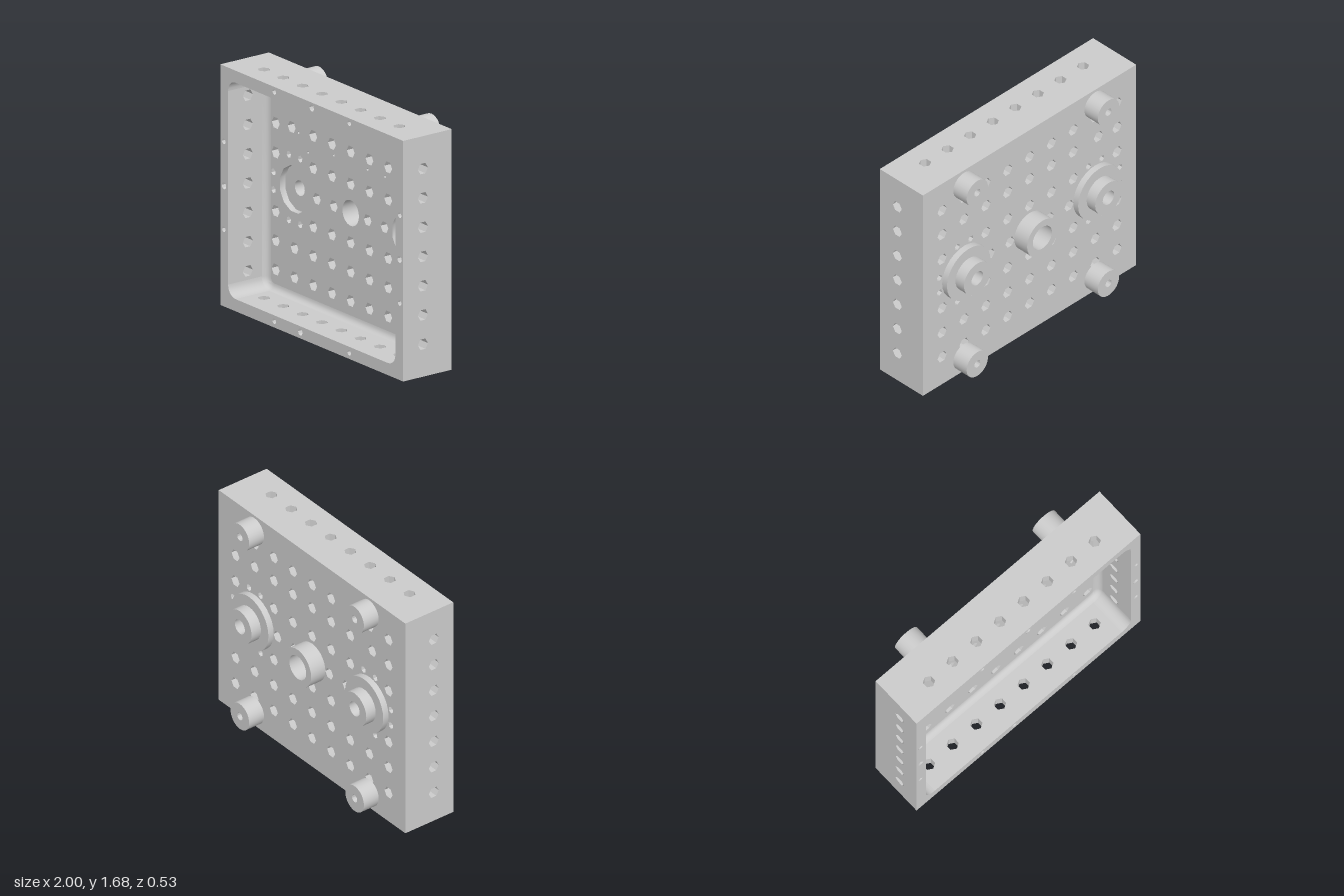
import * as THREE from 'three';
import { mergeGeometries, toCreasedNormals } from 'three/addons/utils/BufferGeometryUtils.js';

const W = 2, H = 1.685, CY = 0.8425;
const FRONT = 0.265, BACK = -0.14, FLOOR = -0.06;
const RIM = 0.085, CORNER = 0.08, FILLET = 0.043;

const material = new THREE.MeshStandardMaterial({ color: 0xcccccc, side: THREE.DoubleSide });

function add(parent, name, geometry) {
  const mesh = new THREE.Mesh(geometry, material);
  mesh.name = name;
  parent.add(mesh);
  return mesh;
}

const hole = (x, y, r, n = 6, a = 0) => ({ x, y, r, n, a });

// corner points of a polygonal hole
function ring({ x, y, r, n, a }) {
  return Array.from({ length: n }, (_, i) => {
    const t = a + (i / n) * Math.PI * 2;
    return new THREE.Vector2(x + r * Math.cos(t), y + r * Math.sin(t));
  });
}

// flat face at depth z with holes cut in it
function face(outline, holes, z) {
  const shape = new THREE.Shape(outline);
  holes.forEach(h => shape.holes.push(new THREE.Path(ring(h).reverse())));
  return new THREE.ShapeGeometry(shape).translate(0, 0, z);
}

const rect = (x0, y0, x1, y1) =>
  [[x0, y0], [x1, y0], [x1, y1], [x0, y1]].map(p => new THREE.Vector2(...p));

// closed strip between successive contours [{points, z}], optionally skipping segments
function loft(contours, keep = () => true) {
  const pos = [];
  for (let k = 0; k < contours.length - 1; k++) {
    const a = contours[k], b = contours[k + 1], n = a.points.length;
    for (let i = 0; i < n; i++) {
      if (!keep(i)) continue;
      const j = (i + 1) % n;
      const v = (c, m) => [c.points[m].x, c.points[m].y, c.z];
      pos.push(...v(a, i), ...v(a, j), ...v(b, j), ...v(a, i), ...v(b, j), ...v(b, i));
    }
  }
  const g = new THREE.BufferGeometry();
  g.setAttribute('position', new THREE.Float32BufferAttribute(pos, 3));
  g.computeVertexNormals();
  return toCreasedNormals(g, 0.6);
}

// walls of a set of holes; blind ones get a bottom
function bores(holes, z0, z1, blind = false) {
  const parts = [];
  holes.forEach(h => {
    const points = ring(h).reverse();
    parts.push(loft([{ points, z: z0 }, { points, z: z1 }]));
    if (blind) {
      const cap = face(ring(h), [], z1).toNonIndexed();
      cap.deleteAttribute('uv');
      parts.push(cap);
    }
  });
  return mergeGeometries(parts);
}

// rounded outline of the cavity, shrunk by d
const STEPS = 6;
function cavity(d) {
  const hx = W / 2 - RIM - CORNER, hy = H / 2 - RIM - CORNER, r = CORNER - d, pts = [];
  [[1, 1], [-1, 1], [-1, -1], [1, -1]].forEach(([sx, sy], q) => {
    for (let i = 0; i <= STEPS; i++) {
      const t = (q + i / STEPS) * Math.PI / 2;
      pts.push(new THREE.Vector2(sx * hx + r * Math.cos(t), CY + sy * hy + r * Math.sin(t)));
    }
  });
  return pts;
}

// turned part standing out of the back face
function turned(parent, name, profile, x, y) {
  const g = new THREE.LatheGeometry(profile.map(p => new THREE.Vector2(...p)), 28);
  const mesh = add(parent, name, toCreasedNormals(g, 0.6));
  mesh.rotation.x = -Math.PI / 2;
  mesh.position.set(x, y, BACK);
}

// one side wall: local x along the wall, y towards the front, z outward
function sideWall(parent, name, length, spots, along, out, distance) {
  const wall = new THREE.Group();
  wall.name = name;
  const holes = spots.map(u => hole(u, 0.1, 0.042, 6, Math.PI / 2));
  const e = length / 2, inner = e - RIM - CORNER;
  add(wall, name + 'Outside', face(rect(-e, BACK, e, FRONT), holes, 0));
  add(wall, name + 'Inside', face(rect(-inner, FLOOR + FILLET, inner, FRONT), holes, -RIM));
  add(wall, name + 'Bores', bores(holes, 0, -RIM));
  wall.quaternion.setFromRotationMatrix(
    new THREE.Matrix4().makeBasis(along, new THREE.Vector3(0, 0, 1), out));
  wall.position.copy(out).multiplyScalar(distance);
  wall.position.y += CY;
  parent.add(wall);
}

export function createModel() {
  const model = new THREE.Group();
  model.name = 'perforatedTray';
  const grid = [], small = [];

  // regular grid of hexagonal holes through the back plate
  const columns = [-4, -3, -2, -1, 0, 1, 2, 3, 4];
  [0.23, 0.435, 0.64, 1.05, 1.275, 1.46].forEach(y => columns.forEach(c => {
    let x = c * 0.205, yy = y;
    if (Math.abs(c) === 3 && (y === 0.64 || y === 1.05)) return;
    if (y === 1.275 && c === -3) x = -0.645;
    if (y === 1.275 && Math.abs(c) === 4) yy = 1.257;
    grid.push(hole(x, yy, 0.043));
  }));
  [-0.37, -0.185, 0.185, 0.37].forEach(x => grid.push(hole(x, 0.845, 0.042)));

  // small holes around the two flanges
  [-1, 1].forEach(s => {
    [[0.552, 1.075], [0.677, 1.075], [0.552, 0.615], [0.677, 0.615], [0.845, 0.907], [0.845, 0.783]]
      .forEach(([x, y]) => small.push(hole(s * x, y, 0.025, 6, 0.4)));
  });

  // blind pin holes in the floor
  const pins = [[-0.57, 1.255], [-0.465, 1.145], [-0.185, 1.2], [0.185, 1.2], [0.375, 1.2], [0.665, 1.2]]
    .map(([x, y]) => hole(x, y, 0.01));

  const through = [...grid, ...small];
  const recesses = [-0.615, 0.615].map(x => hole(x, 0.845, 0.165, 12, Math.PI / 12));
  const centre = hole(0, 0.845, 0.09, 28);

  // back plate
  add(model, 'plateFloor', face(cavity(FILLET), [...through, ...pins, ...recesses, centre], FLOOR));
  add(model, 'plateBack', face(rect(-1, 0, 1, H), [...through,
    ...recesses.map(h => hole(h.x, h.y, 0.2, 28)), hole(0, 0.845, 0.137, 28)], BACK));
  add(model, 'plateBores', bores(through, FLOOR, BACK));
  add(model, 'pinHoles', bores(pins, FLOOR, FLOOR - 0.04, true));

  // fillet round the floor and the rounded inner corners
  const fillet = [0, 1, 2, 3, 4, 5].map(i => {
    const t = (i / 5) * Math.PI / 2;
    return { points: cavity(FILLET * (1 - Math.cos(t))), z: FLOOR + FILLET * (1 - Math.sin(t)) };
  });
  add(model, 'floorFillet', loft(fillet));
  add(model, 'innerCorners', loft(
    [{ points: cavity(0), z: FRONT }, { points: cavity(0), z: FLOOR + FILLET }],
    i => i % (STEPS + 1) !== STEPS));

  // front rim with blind screw holes
  const screws = [[-0.41, 1.65], [0.41, 1.65], [-0.41, 0.043], [0.41, 0.043],
    [-0.962, 1.155], [0.962, 1.155], [-0.962, 0.54], [0.962, 0.54]].map(([x, y]) => hole(x, y, 0.02, 8));
  [[0, 1.647], [-0.125, 0.045], [-0.96, 0.845], [0.96, 0.845]]
    .forEach(([x, y]) => screws.push(hole(x, y, 0.025, 8)));
  const rimShape = new THREE.Shape(rect(-1, 0, 1, H));
  [cavity(0), ...screws.map(ring)].forEach(p => rimShape.holes.push(new THREE.Path(p)));
  add(model, 'frontRim', new THREE.ShapeGeometry(rimShape).translate(0, 0, FRONT));
  add(model, 'screwHoles', bores(screws, FRONT, FRONT - 0.1, true));

  // four drilled side walls
  const X = new THREE.Vector3(1, 0, 0), Y = new THREE.Vector3(0, 1, 0);
  const sideSpots = [-3, -2, -1, 0, 1, 2, 3].map(i => i * 0.205);
  const topSpots = [-3.5, -2.5, -1.5, -0.5, 0.5, 1.5, 2.5, 3.5].map(i => i * 0.2115);
  sideWall(model, 'leftWall', H, sideSpots, Y, X, W / 2);
  sideWall(model, 'rightWall', H, sideSpots, Y.clone().negate(), X.clone().negate(), W / 2);
  sideWall(model, 'topWall', W, topSpots, X.clone().negate(), Y, H / 2);
  sideWall(model, 'bottomWall', W, topSpots, X, Y.clone().negate(), H / 2);

  // flanged bosses with a shallow recess on the inside
  const recessFloor = -0.105;
  add(model, 'recessWalls', bores(recesses, FLOOR, recessFloor));
  recesses.forEach(h => {
    add(model, 'recessFloor', face(ring(h), [hole(h.x, h.y, 0.054, 28)], recessFloor));
    turned(model, 'flangedBoss', [[0.205, 0], [0.205, 0.045], [0.125, 0.045], [0.125, 0.125],
      [0.054, 0.125], [0.054, BACK - recessFloor]], h.x, h.y);
  });

  // central hollow boss
  turned(model, 'centreBoss', [[0.143, 0], [0.143, 0.12], [0.09, 0.12], [0.09, BACK - FLOOR]], 0, 0.845);

  // four corner feet with blind holes
  [-0.615, 0.615].forEach(x => [0.125, 1.565].forEach(y => turned(model, 'cornerFoot',
    [[0, 0], [0.1, 0], [0.1, 0.125], [0.028, 0.125], [0.028, 0.02], [0, 0.02]], x, y)));

  return model;
}
